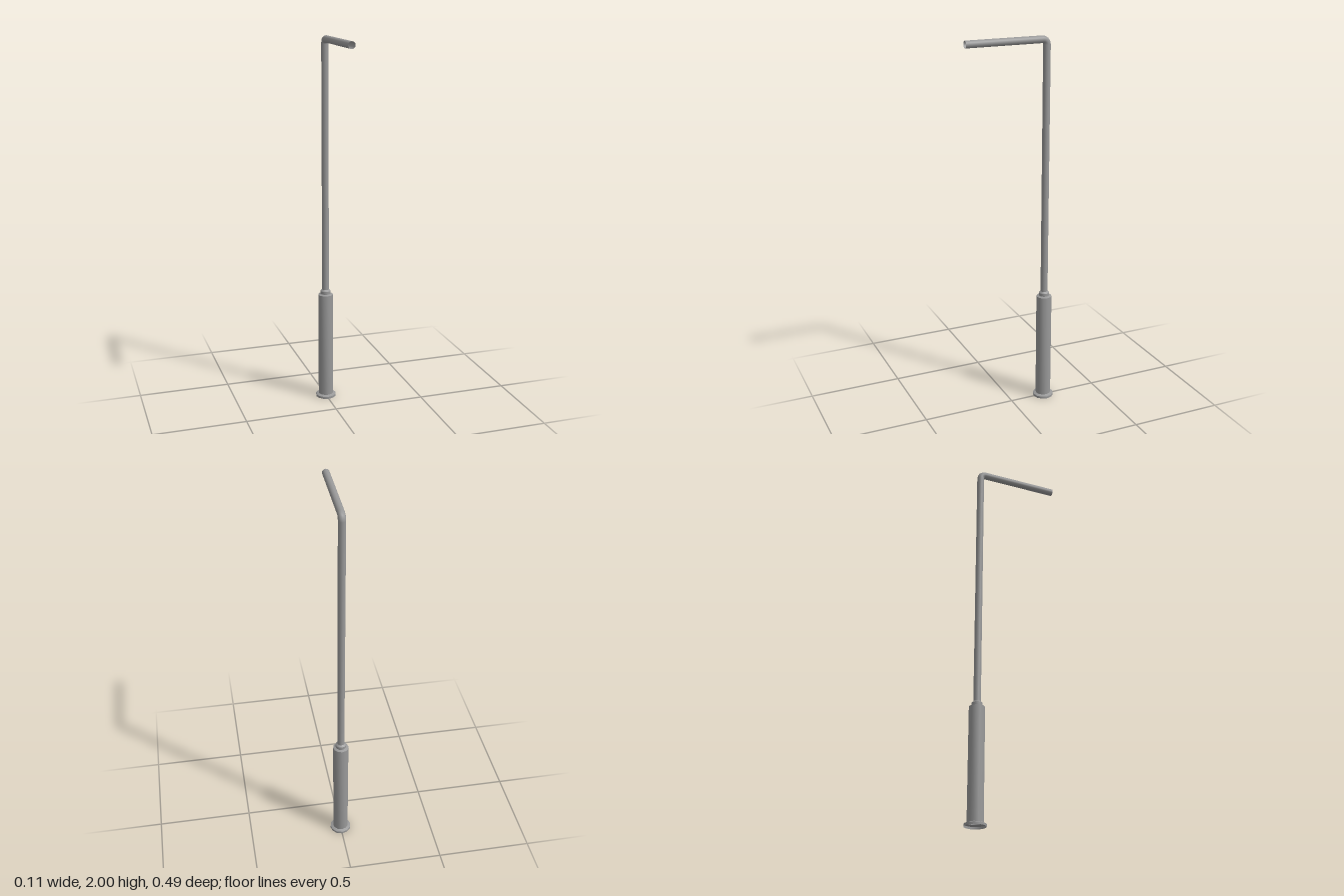
import * as THREE from 'three';
import { toCreasedNormals } from 'three/addons/utils/BufferGeometryUtils.js';

const SIDES = 12;
const POLE_Z = -0.191;
const TUBE_R = 0.019;
const BEND_R = 0.025;
const ARM_Y = 2 - TUBE_R;
const ARM_END = 0.245;

export function createModel() {
  const group = new THREE.Group();
  const material = new THREE.MeshStandardMaterial({ color: 0x999999, side: THREE.DoubleSide });

  const add = (name, geometry, y, z) => {
    const mesh = new THREE.Mesh(geometry, material);
    mesh.name = name;
    mesh.position.set(0, y, z);
    group.add(mesh);
    return mesh;
  };
  // Turned part with crisp edges between its bands, smooth around
  const turned = (name, profile) => {
    const points = profile.map(([r, y]) => new THREE.Vector2(r, y));
    return add(name, toCreasedNormals(new THREE.LatheGeometry(points, SIDES), 0.6), 0, POLE_Z);
  };
  const pipe = (length) => new THREE.CylinderGeometry(TUBE_R, TUBE_R, length, SIDES, 1, true);

  // Foot flange, open underneath
  turned('baseFlange', [[0.056, 0], [0.056, 0.012], [0.041, 0.018]]);

  // Thick lower sleeve with a flat shoulder
  turned('lowerSleeve', [[0.041, 0.018], [0.041, 0.601], [0.028, 0.606]]);

  // Collar stepping in to the pole
  turned('collar', [[0.028, 0.606], [0.028, 0.622], [TUBE_R, 0.63]]);

  // Slim upright pole
  const poleBottom = 0.62;
  const poleTop = ARM_Y - BEND_R;
  add('pole', pipe(poleTop - poleBottom), (poleTop + poleBottom) / 2, POLE_Z);

  // Quarter bend from the pole to the arm
  const bend = new THREE.TorusGeometry(BEND_R, TUBE_R, SIDES, 4, Math.PI / 2);
  add('bend', bend, poleTop, POLE_Z + BEND_R).rotation.y = Math.PI / 2;

  // Horizontal arm with an open end
  const armStart = POLE_Z + BEND_R;
  add('arm', pipe(ARM_END - armStart), ARM_Y, (ARM_END + armStart) / 2).rotation.x = Math.PI / 2;

  return group;
}
